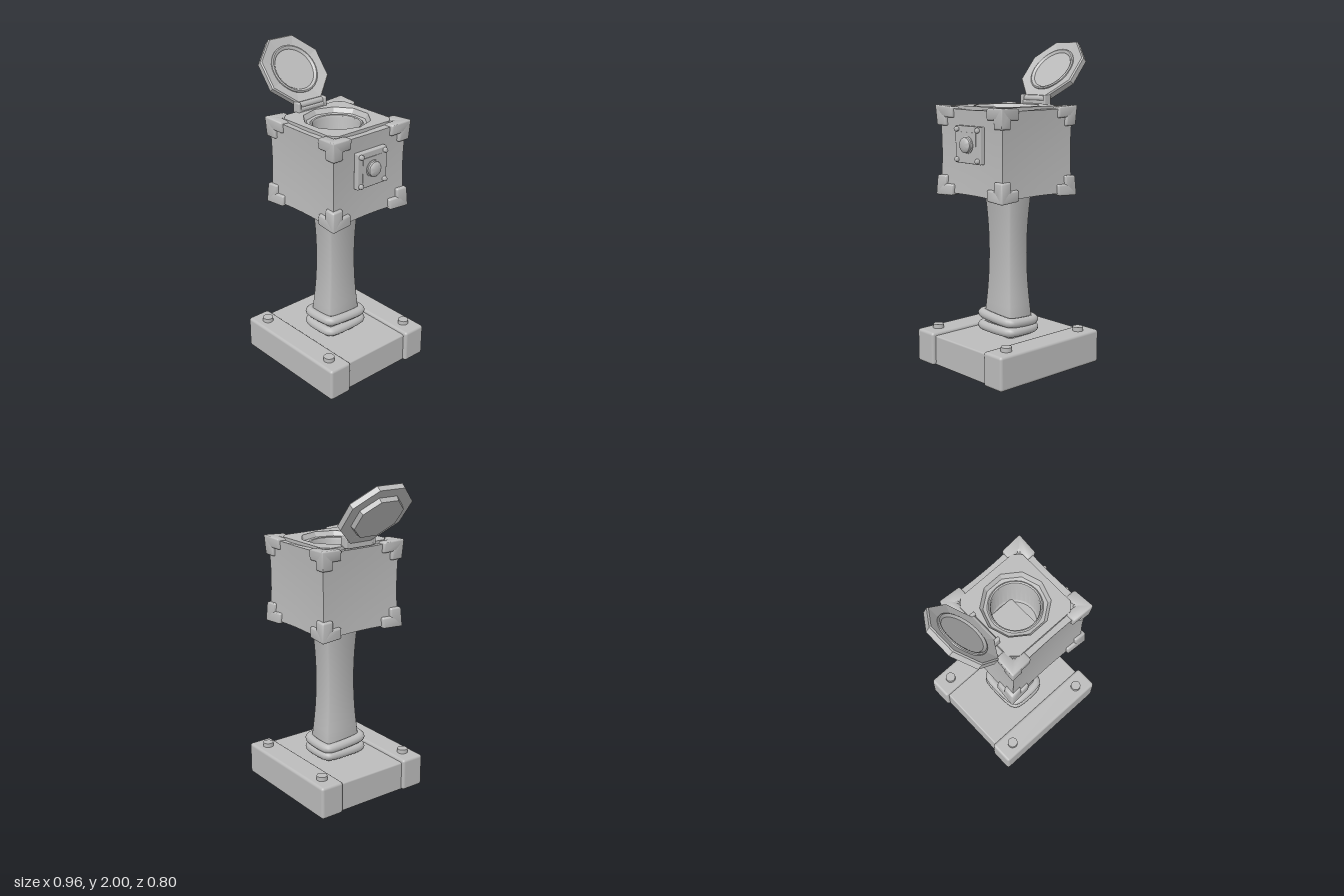
import * as THREE from 'three';
import { toCreasedNormals } from 'three/addons/utils/BufferGeometryUtils.js';
import { RoundedBoxGeometry } from 'three/addons/geometries/RoundedBoxGeometry.js';

const CX = 0.074, CY = 1.345; // centre of the box head
const POST_X = 0.06;

export function createModel() {
  const model = new THREE.Group();
  const grey = new THREE.MeshStandardMaterial({ color: 0xbbbbbb });
  grey.name = 'plain grey';

  function add(name, geo, x = 0, y = 0, z = 0, parent = model) {
    const mesh = new THREE.Mesh(geo, grey);
    mesh.name = name;
    mesh.position.set(x, y, z);
    parent.add(mesh);
    return mesh;
  }
  const crease = (geo, angle = 0.5) => {
    geo.computeVertexNormals();
    return toCreasedNormals(geo, angle);
  };
  // moves every vertex by a rule
  function deform(geo, rule) {
    const p = geo.attributes.position, v = new THREE.Vector3();
    for (let i = 0; i < p.count; i++) {
      v.fromBufferAttribute(p, i);
      rule(v);
      p.setXYZ(i, v.x, v.y, v.z);
    }
    return geo;
  }
  // pinches the middle of the box faces, leaving the corners flared
  const pinch = (v) => {
    const x = (v.x / 0.28) ** 2, y = (v.y / 0.255) ** 2, z = (v.z / 0.28) ** 2, k = 0.038;
    v.set(v.x * (1 + k * (y + z)), v.y * (1 + k * (x + z)), v.z * (1 + k * (x + y)));
  };
  // rectangle with cut corners
  function cutRect(hx, hz, c) {
    return new THREE.Shape([
      [hx - c, -hz], [hx, -hz + c], [hx, hz - c], [hx - c, hz],
      [-hx + c, hz], [-hx, hz - c], [-hx, -hz + c], [-hx + c, -hz],
    ].map(([x, y]) => new THREE.Vector2(x, y)));
  }
  // outer surfaces run bottom to top, hollow ones top to bottom
  const lathe = (pts, n, start = 0) =>
    new THREE.LatheGeometry(pts.map(([r, y]) => new THREE.Vector2(r, y)), n, start);
  const polygonHole = (r, n) => {
    const pts = [];
    for (let i = 0; i < n; i++) {
      const a = (-i / n) * Math.PI * 2;
      pts.push(new THREE.Vector2(Math.cos(a) * r, Math.sin(a) * r));
    }
    return new THREE.Path(pts);
  };

  // base: slab between two heavier beams, with bolts
  add('baseSlab', new RoundedBoxGeometry(0.78, 0.19, 0.52, 2, 0.01), 0.06, 0.095, 0);
  for (const s of [-1, 1]) {
    add('baseBeam', new RoundedBoxGeometry(0.825, 0.21, 0.158, 2, 0.018), 0.0625, 0.105, s * 0.319);
    for (const x of [-0.24, 0.365]) {
      add('baseBolt', new THREE.CylinderGeometry(0.033, 0.034, 0.03, 20), x, 0.221, s * 0.322);
    }
  }

  // waisted post with cut corners
  const post = new THREE.ExtrudeGeometry(cutRect(0.093, 0.125, 0.01), { depth: 1.17, steps: 18, bevelEnabled: false });
  post.rotateX(-Math.PI / 2);
  deform(post, (v) => {
    const t = Math.min(1, Math.abs(v.y - 0.52) / 0.38);
    const s = 0.8 + 0.18 * t * t;
    v.x *= s;
    v.z *= s;
  });
  add('post', crease(post, 0.9), POST_X, 0.19, 0);

  // two padded rings around the foot of the post
  const loop = [];
  for (const [sx, sz] of [[1, 1], [-1, 1], [-1, -1], [1, -1]]) {
    const corner = [[0.11, 0.1], [0.099, 0.129], [0.07, 0.14]];
    if (sx * sz < 0) corner.reverse();
    for (const [x, z] of corner) loop.push(new THREE.Vector3(sx * x, 0, sz * z));
  }
  const ringCurve = new THREE.CatmullRomCurve3(loop, true);
  const ringGeo = new THREE.TubeGeometry(ringCurve, 64, 0.03, 12, true);
  add('lowerRing', ringGeo, POST_X, 0.233, 0);
  add('upperRing', ringGeo, POST_X, 0.297, 0).rotation.set(-0.07, 0, 0.05);

  // box head without its top face
  const head = new THREE.Group();
  head.name = 'head';
  head.position.set(CX, CY, 0);
  model.add(head);
  const body = new THREE.BoxGeometry(0.536, 0.49, 0.536, 8, 8, 8);
  const idx = Array.from(body.index.array);
  body.setIndex(idx.filter((_, i) => i < 768 || i >= 1152));
  body.clearGroups();
  add('boxWalls', crease(deform(body, pinch)), 0, 0, 0, head);

  // top face with the opening, and the raised plate on it
  const rim = [];
  for (let side = 0; side < 4; side++) {
    for (let i = 0; i < 8; i++) {
      rim.push(new THREE.Vector2(0.268, -0.268 + i * 0.067).rotateAround(new THREE.Vector2(), side * Math.PI / 2));
    }
  }
  const capShape = new THREE.Shape(rim);
  capShape.holes.push(polygonHole(0.218, 10));
  const cap = new THREE.ShapeGeometry(capShape).rotateX(-Math.PI / 2).translate(0, 0.245, 0);
  add('boxTop', crease(deform(cap, pinch)), 0, 0, 0, head);
  const plateShape = cutRect(0.241, 0.241, 0.045);
  plateShape.holes.push(polygonHole(0.203, 10));
  const plate = new THREE.ExtrudeGeometry(plateShape, { depth: 0.039, bevelEnabled: false });
  add('topPlate', plate.rotateX(-Math.PI / 2), -0.006, 0.234, 0, head);

  // ten-sided funnel and round cup
  add('funnel', crease(lathe([[0.204, 0.272], [0.185, 0.243], [0.15, 0.235]], 10, Math.PI / 2), 0.2), -0.006, 0, 0, head);
  add('cup', crease(lathe([[0.162, 0.22], [0.161, 0.238], [0.153, 0.245], [0.145, 0.241], [0.14, 0.225], [0.14, 0.012], [0.13, 0], [0, 0]], 32), 0.7), -0.006, 0, 0, head);

  // stepped corner guards
  const arms = [[0.135, 0.065, 0.065], [0.075, 0.115, 0.075], [0.065, 0.065, 0.135]];
  for (const sx of [-1, 1]) for (const sy of [-1, 1]) for (const sz of [-1, 1]) {
    const guard = new THREE.Group();
    guard.name = 'cornerGuard';
    head.add(guard);
    for (const [w, h, d] of arms) {
      const arm = new RoundedBoxGeometry(w, h, d, 2, 0.01);
      arm.translate(sx * (0.288 - w / 2), sy * (0.257 - h / 2), sz * (0.284 - d / 2));
      add('guardArm', crease(deform(arm, pinch), 0.7), 0, 0, 0, guard);
    }
  }

  // side panel with button and screws
  const panel = new THREE.Group();
  panel.name = 'sidePanel';
  panel.position.set(0.347, 1.395, 0);
  model.add(panel);
  add('panelPlate', new RoundedBoxGeometry(0.035, 0.222, 0.23, 2, 0.006), 0.0145, 0, 0, panel);
  add('panelInset', new THREE.BoxGeometry(0.008, 0.15, 0.155), 0.031, 0, 0, panel);
  const button = lathe([[0.052, 0], [0.052, 0.008], [0.046, 0.012], [0.046, 0.026], [0.038, 0.034], [0.022, 0.039], [0, 0.041]], 24);
  add('button', crease(button, 0.7).rotateZ(-Math.PI / 2), 0.031, 0, 0, panel);
  const screw = crease(lathe([[0.015, 0], [0.015, 0.014], [0.01, 0.021], [0, 0.023]], 12), 0.9).rotateZ(-Math.PI / 2);
  for (const y of [-0.09, 0.09]) for (const z of [-0.094, 0.094]) add('screw', screw, 0.031, y, z, panel);

  // open octagonal lid: bevelled rim, dished inside, smaller plate outside
  const lid = new THREE.Group();
  lid.name = 'lid';
  lid.position.set(-0.326, 1.824, 0);
  lid.rotation.z = -0.88;
  model.add(lid);
  const lidProfile = [[0, -0.05], [0.16, -0.05], [0.168, -0.022], [0.234, -0.022], [0.236, 0.012], [0.228, 0.02], [0.16, 0.008], [0, 0.006]];
  add('lidShell', crease(lathe(lidProfile, 8, Math.PI / 8), 0.1), 0, 0, 0, lid);
  add('lidSeal', crease(lathe([[0.16, 0], [0.158, 0.016], [0.15, 0.02], [0.141, 0.017], [0.134, 0.009], [0, 0.009]], 32), 0.6), 0, 0, 0, lid);
  add('lidArm', new RoundedBoxGeometry(0.12, 0.03, 0.17, 2, 0.008), 0.225, -0.008, 0, lid);

  // hinge on the top edge of the box
  add('hingeBase', new RoundedBoxGeometry(0.05, 0.04, 0.2, 2, 0.008), -0.175, 1.622, 0);
  add('hingePin', new THREE.CylinderGeometry(0.02, 0.02, 0.2, 16).rotateX(Math.PI / 2), -0.178, 1.652, 0);
  for (const s of [-1, 1]) {
    add('hingeEar', new RoundedBoxGeometry(0.056, 0.07, 0.022, 2, 0.008), -0.174, 1.641, s * 0.1);
  }
  return model;
}
